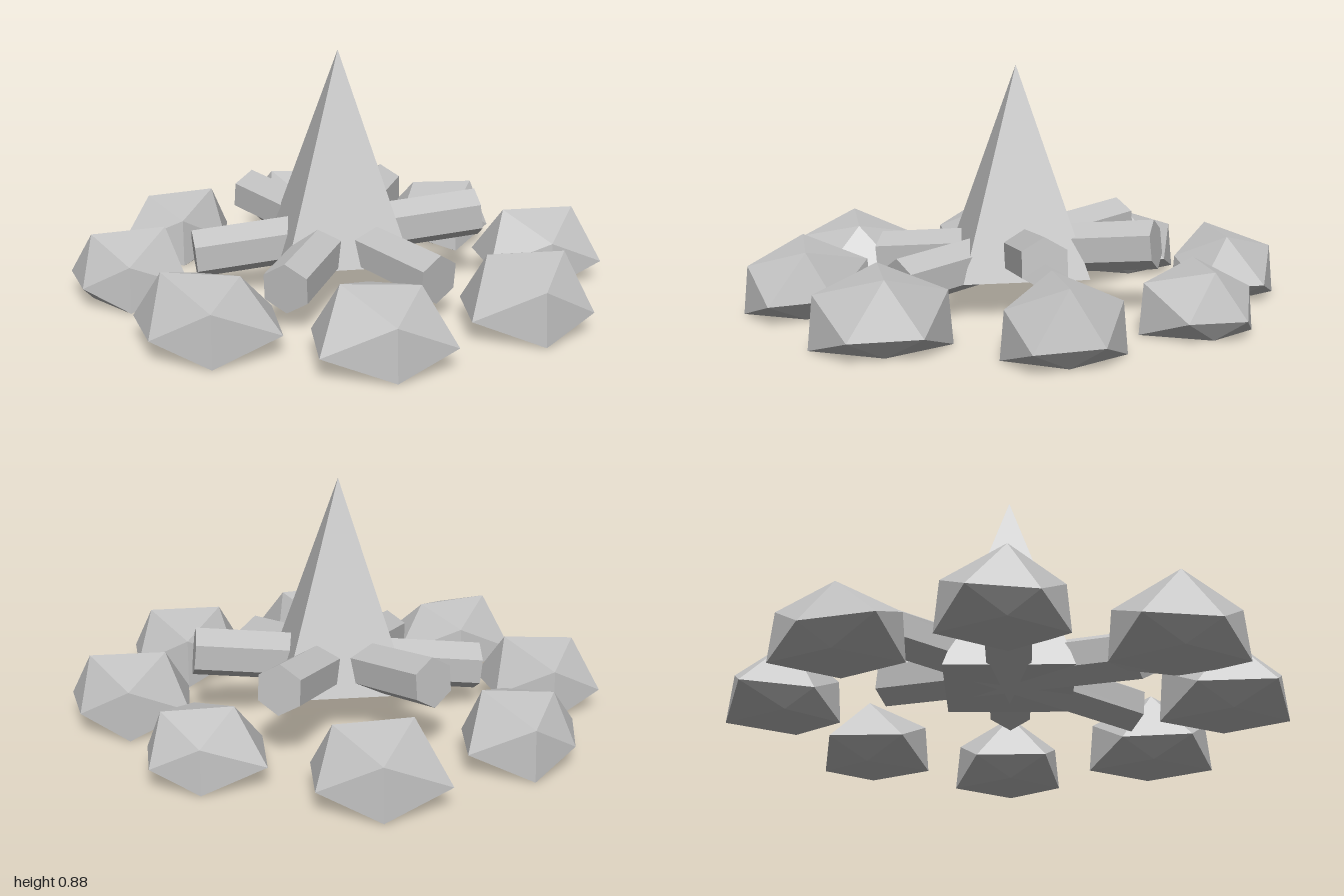
import * as THREE from 'three';

const stoneGrey = new THREE.MeshStandardMaterial({ color: 0xc0c0c0, flatShading: true });
stoneGrey.name = 'plain grey';

const RING = 0.775;       // distance of the stones from the centre
const STONE_R = 0.267;    // stone radius before roughening
const STONE_H = 0.223;    // vertical radius
const STONE_Y = 0.07;     // height of the stone's middle

// Roughness of each stone: corners NW, N, NE, SE, S, SW, then ridge ends W, E
const ROUGH = [
  [0.95, 0.98, 0.77, 0.93, 0.86, 0.98, 0.97, 0.97],
  [0.86, 1.05, 0.85, 0.90, 1.05, 1.00, 0.98, 0.97],
  [0.93, 1.07, 0.69, 0.96, 0.96, 1.02, 1.00, 0.90],
  [1.00, 1.02, 1.07, 1.05, 1.00, 0.84, 1.00, 0.85],
  [0.89, 1.00, 0.86, 0.93, 0.86, 0.72, 0.90, 0.98],
  [0.75, 0.98, 0.91, 0.77, 0.98, 1.05, 0.85, 0.95],
  [1.05, 1.02, 0.88, 0.82, 0.77, 0.72, 0.98, 0.92],
  [0.97, 0.77, 0.72, 0.73, 1.00, 1.00, 0.88, 0.85],
];

// Rough boulder: icosahedron with corners pushed in or out, flattened on the ground
function makeStone(rough) {
  const geo = new THREE.IcosahedronGeometry(1, 0);
  const pos = geo.attributes.position;
  const v = new THREE.Vector3();
  for (let i = 0; i < pos.count; i++) {
    v.fromBufferAttribute(pos, i);
    let f;
    if (Math.abs(v.z) < 0.1) f = rough[v.x < 0 ? 6 : 7];
    else if (Math.abs(v.x) < 0.1) f = rough[v.z < 0 ? 1 : 4] * (v.y > 0 ? 0.93 : 1);
    else if (v.z < 0) f = rough[v.x < 0 ? 0 : 2];
    else f = rough[v.x < 0 ? 5 : 3];
    const y = Math.max(0, STONE_Y + v.y * STONE_H * f);
    pos.setXYZ(i, v.x * STONE_R * f, y, v.z * STONE_R * f);
  }
  geo.computeVertexNormals();
  return new THREE.Mesh(geo, stoneGrey);
}

export function createModel() {
  const model = new THREE.Group();
  model.name = 'campfire';

  // Ring of stones
  const ring = new THREE.Group();
  ring.name = 'stoneRing';
  ROUGH.forEach((rough, i) => {
    const a = (i / ROUGH.length) * Math.PI * 2;
    const stone = makeStone(rough);
    stone.name = 'stone' + (i + 1);
    stone.position.set(Math.cos(a) * RING, 0, Math.sin(a) * RING);
    ring.add(stone);
  });
  model.add(ring);

  // Three tilted six-sided logs crossing at the centre
  const logs = new THREE.Group();
  logs.name = 'logs';
  const logGeo = new THREE.CylinderGeometry(0.09, 0.09, 1.07, 6);
  logGeo.rotateY(Math.PI / 2);
  logGeo.rotateZ(-Math.PI / 2 + 0.1);
  for (let i = 0; i < 3; i++) {
    const log = new THREE.Mesh(logGeo, stoneGrey);
    log.name = 'log' + (i + 1);
    log.position.y = 0.2;
    log.rotation.y = (i * Math.PI) / 3;
    logs.add(log);
  }
  model.add(logs);

  // Four-sided flame
  const flameGeo = new THREE.ConeGeometry(0.23 * Math.SQRT2, 0.76, 4);
  flameGeo.rotateY(Math.PI / 4);
  const flame = new THREE.Mesh(flameGeo, stoneGrey);
  flame.name = 'flame';
  flame.position.y = 0.125 + 0.38;
  model.add(flame);

  return model;
}
